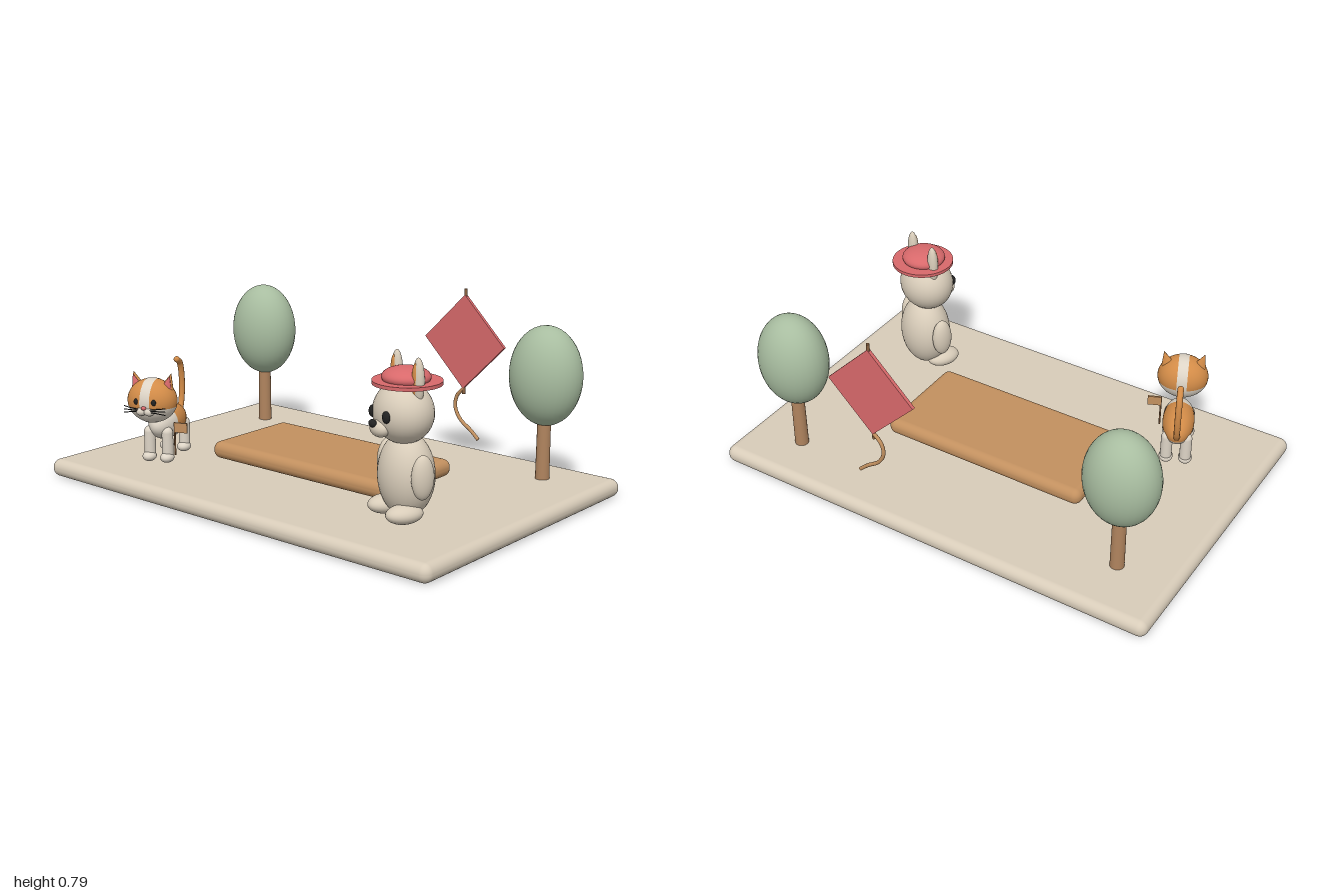
import * as THREE from 'three';
import { RoundedBoxGeometry } from 'three/addons/geometries/RoundedBoxGeometry.js';

const mat = (name, color) => {
  const m = new THREE.MeshStandardMaterial({ color, side: THREE.DoubleSide });
  m.name = name;
  return m;
};

export function createModel() {
  const cream = mat('cream', 0xd8ccb9);
  const white = mat('warm white', 0xddd4c6);
  const wood = mat('wood', 0xc2905f);
  const trunkBrown = mat('trunk brown', 0xb0845e);
  const stickBrown = mat('stick brown', 0x87603f);
  const green = mat('leaf green', 0xa8bda0);
  const red = mat('red', 0xd8696b);
  const orange = mat('orange', 0xd38c48);
  const black = mat('black', 0x222222);

  const model = new THREE.Group();
  model.name = 'parkScene';

  const add = (parent, name, geo, material, x = 0, y = 0, z = 0) => {
    const m = new THREE.Mesh(geo, material);
    m.name = name;
    m.position.set(x, y, z);
    parent.add(m);
    return m;
  };
  const group = (name, x, z, yaw) => {
    const g = new THREE.Group();
    g.name = name;
    g.position.set(x, 0, z);
    g.rotation.y = yaw;
    model.add(g);
    return g;
  };
  const ball = (parent, name, material, p, r) =>
    add(parent, name, new THREE.SphereGeometry(1, 32, 24).scale(...r), material, ...p);
  // Part of an ellipsoid between two polar angles, with its pole turned first
  const cap = (parent, name, material, p, r, t0, t1, turn = (g) => g, f0 = 0, f1 = Math.PI * 2) =>
    add(parent, name, turn(new THREE.SphereGeometry(1, 40, 20, f0, f1, t0, t1 - t0)).scale(...r), material, ...p);
  const tube = (parent, name, material, pts, r) =>
    add(parent, name, new THREE.TubeGeometry(
      new THREE.CatmullRomCurve3(pts.map((p) => new THREE.Vector3(...p))), 40, r, 10), material);

  // Ground slab and low wooden platform
  add(model, 'groundSlab', new RoundedBoxGeometry(2, 0.075, 1.33, 5, 0.036), cream, 0, 0.0375, 0);
  add(model, 'platform', new RoundedBoxGeometry(0.935, 0.073, 0.455, 5, 0.034), wood, 0, 0.12, 0);

  // Trees
  for (const [x, z] of [[-0.753, -0.42], [0.748, -0.46]]) {
    const tree = group('tree', x, z, 0);
    add(tree, 'trunk', new THREE.CylinderGeometry(0.027, 0.029, 0.33, 24), trunkBrown, 0, 0.235, 0);
    ball(tree, 'crown', green, [0, 0.505, 0], [0.155, 0.205, 0.13]);
  }

  // Kite with spar and curling tail
  const kite = group('kite', 0.29, -0.545, 0);
  add(kite, 'kiteSail', new THREE.BoxGeometry(0.287, 0.287, 0.015), red, 0, 0.567, 0).rotation.z = Math.PI / 4;
  add(kite, 'kiteSpar', new THREE.CylinderGeometry(0.007, 0.007, 0.455, 12), stickBrown, 0, 0.567, 0);
  tube(kite, 'kiteTail', wood,
    [[0, 0.365, 0], [-0.035, 0.325, 0], [-0.042, 0.275, 0], [-0.015, 0.225, 0], [0.04, 0.185, 0], [0.08, 0.15, 0]], 0.008);

  // Standing animal with a hat
  const dog = group('hattedAnimal', 0.64, 0.315, -0.42);
  ball(dog, 'body', cream, [0, 0.255, 0], [0.122, 0.163, 0.105]);
  ball(dog, 'head', cream, [0, 0.495, 0.015], [0.128, 0.118, 0.112]);
  ball(dog, 'muzzle', cream, [0, 0.445, 0.112], [0.05, 0.034, 0.035]);
  ball(dog, 'nose', black, [0, 0.466, 0.142], [0.02, 0.015, 0.014]);
  for (const s of [-1, 1]) {
    ball(dog, 'eye', black, [s * 0.053, 0.497, 0.114], [0.02, 0.023, 0.014]);
    ball(dog, 'arm', cream, [s * 0.134, 0.277, 0.005], [0.032, 0.085, 0.045]);
    ball(dog, 'foot', cream, [s * 0.072, 0.126, 0.045], [0.053, 0.037, 0.075]);
    ball(dog, 'ear', cream, [s * 0.082, 0.625, 0], [0.027, 0.088, 0.022]);
    ball(dog, 'innerEar', orange, [s * 0.082, 0.63, 0.013], [0.016, 0.065, 0.012]);
  }
  add(dog, 'hatBrim', new THREE.CylinderGeometry(0.132, 0.132, 0.014, 48), red, 0, 0.608, 0);
  ball(dog, 'hatCrown', red, [0, 0.627, 0.005], [0.094, 0.04, 0.092]);

  // Cat
  const cat = group('cat', -0.63, 0.32, 0.4);
  const bodyP = [0, 0.24, 0], bodyR = [0.066, 0.072, 0.128];
  cap(cat, 'bodyBack', orange, bodyP, bodyR, 0, 1.85);
  cap(cat, 'belly', white, bodyP, bodyR, 1.85, Math.PI);
  cap(cat, 'chest', white, bodyP, bodyR.map((r) => r * 1.025), 0, 1.27, (g) => g.rotateX(Math.PI / 2));

  // Cat head: orange cap, pale jaw and a pale stripe from brow to nape
  const headP = [0, 0.365, 0.15], headR = [0.106, 0.093, 0.086];
  cap(cat, 'headTop', orange, headP, headR, 0, 1.8);
  cap(cat, 'jaw', white, headP, headR, 1.8, Math.PI);
  cap(cat, 'headStripe', white, headP, headR.map((r) => r * 1.015), Math.PI / 2 - 0.2, Math.PI / 2 + 0.2,
    (g) => g.rotateZ(Math.PI / 2).rotateX(Math.PI / 2 - Math.atan2(0, 1)), 0, Math.PI * 2);
  ball(cat, 'catNose', red, [0, 0.352, 0.243], [0.011, 0.008, 0.008]);
  for (const s of [-1, 1]) {
    ball(cat, 'catMuzzle', white, [s * 0.017, 0.334, 0.225], [0.023, 0.018, 0.02]);
    ball(cat, 'catEye', black, [s * 0.039, 0.374, 0.228], [0.01, 0.013, 0.008]);
    const ear = add(cat, 'catEar', new THREE.ConeGeometry(0.034, 0.08, 24).scale(1, 1, 0.6), orange, s * 0.073, 0.445, 0.145);
    const inner = add(cat, 'catInnerEar', new THREE.ConeGeometry(0.026, 0.064, 24).scale(1, 1, 0.5), red, s * 0.073, 0.443, 0.156);
    ear.rotation.z = inner.rotation.z = -s * 0.3;
    for (const k of [-1, 0, 1]) {
      tube(cat, 'whisker', black,
        [[s * 0.025, 0.34 + k * 0.005, 0.238], [s * 0.06, 0.342 + k * 0.009, 0.24], [s * 0.092, 0.34 + k * 0.014, 0.23]], 0.002);
    }
    for (const z of [-0.08, 0.1]) {
      add(cat, 'leg', new THREE.CapsuleGeometry(0.024, 0.09, 8, 20), white, s * 0.04, 0.17, z);
      ball(cat, 'paw', white, [s * 0.04, 0.11, z + 0.008], [0.029, 0.022, 0.034]);
    }
  }
  tube(cat, 'catTail', orange,
    [[0, 0.22, -0.1], [0, 0.28, -0.145], [0, 0.38, -0.16], [0, 0.46, -0.142], [0, 0.482, -0.11]], 0.013);
  ball(cat, 'tailTip', orange, [0, 0.482, -0.11], [0.013, 0.013, 0.013]);

  // Small flag on a stick beside the cat
  add(cat, 'flagStick', new THREE.CylinderGeometry(0.004, 0.004, 0.14, 10), stickBrown, 0.082, 0.197, 0.118);
  add(cat, 'flag', new THREE.BoxGeometry(0.058, 0.042, 0.008), wood, 0.109, 0.246, 0.118);

  return model;
}
